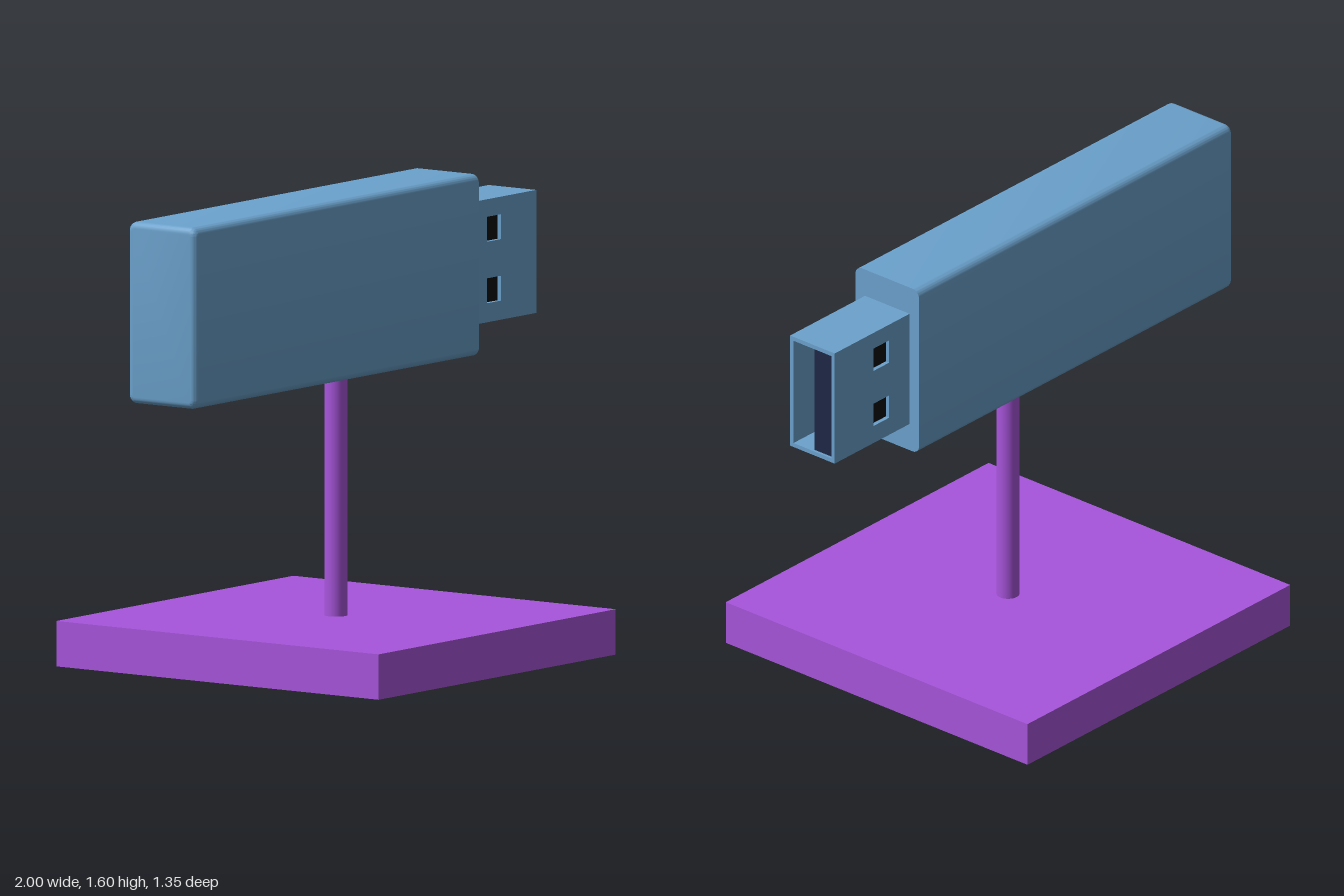
import * as THREE from 'three';
import { toCreasedNormals } from 'three/addons/utils/BufferGeometryUtils.js';

const paint = (color) => new THREE.MeshStandardMaterial({ color });
const blue = paint(0x6ba2cd);
const purple = paint(0xa855dc);
const black = paint(0x0d0d0d);
const navy = paint(0x1e2946);

function add(parent, name, geometry, material, x = 0, y = 0, z = 0) {
  const mesh = new THREE.Mesh(geometry, material);
  mesh.name = name;
  mesh.position.set(x, y, z);
  parent.add(mesh);
  return mesh;
}

// Box given by its lower and upper corners
function addBox(parent, name, material, [x0, y0, z0], [x1, y1, z1]) {
  const geometry = new THREE.BoxGeometry(x1 - x0, y1 - y0, z1 - z0);
  return add(parent, name, geometry, material, (x0 + x1) / 2, (y0 + y1) / 2, (z0 + z1) / 2);
}

function rectangle(path, x0, y0, x1, y1) {
  path.moveTo(x0, y0).lineTo(x1, y0).lineTo(x1, y1).lineTo(x0, y1).closePath();
  return path;
}

// Long case: rounded section, softened closed end, flat connector end
function caseGeometry() {
  const w = 0.143, h = 0.31, r = 0.03, bevel = 0.022;
  const endX = 0.615;
  const s = new THREE.Shape();
  s.absarc(w - r, h - r, r, 0, Math.PI / 2);
  s.absarc(-w + r, h - r, r, Math.PI / 2, Math.PI);
  s.absarc(-w + r, -h + r, r, Math.PI, Math.PI * 1.5);
  s.absarc(w - r, -h + r, r, Math.PI * 1.5, Math.PI * 2);
  s.closePath();
  const g = new THREE.ExtrudeGeometry(s, {
    depth: 1 + endX - bevel, curveSegments: 6,
    bevelThickness: bevel, bevelSize: bevel, bevelOffset: -bevel, bevelSegments: 5,
  });
  g.rotateY(Math.PI / 2);
  g.translate(-1 + bevel, 0, 0);
  // Flatten the bevel at the connector end
  const p = g.attributes.position;
  for (let i = 0; i < p.count; i++) p.setX(i, Math.min(p.getX(i), endX));
  return toCreasedNormals(g, 0.6);
}

// Connector side wall with its two square windows
function sideWallGeometry(thickness) {
  const s = rectangle(new THREE.Shape(), 0.61, 1.08, 1, 1.5);
  for (const y of [1.145, 1.355]) {
    s.holes.push(rectangle(new THREE.Path(), 0.72, y, 0.8, y + 0.085));
  }
  return new THREE.ExtrudeGeometry(s, { depth: thickness, bevelEnabled: false });
}

export function createModel() {
  const model = new THREE.Group();
  model.name = 'memoryStickOnStand';

  // Stand
  const stand = new THREE.Group();
  stand.name = 'stand';
  model.add(stand);
  addBox(stand, 'base', purple, [-0.68, 0, -0.677], [0.67, 0.155, 0.677]);
  add(stand, 'pole', new THREE.CylinderGeometry(0.039, 0.039, 0.86, 32), purple, -0.005, 0.575, 0);

  // Case
  add(model, 'case', caseGeometry(), blue, 0, 1.29, 0);

  // Connector: hollow sleeve, dark core and tongue
  const connector = new THREE.Group();
  connector.name = 'connector';
  model.add(connector);
  const t = 0.015, outer = 0.1, inner = outer - t;
  const wall = sideWallGeometry(t);
  add(connector, 'frontWall', wall, blue, 0, 0, inner);
  add(connector, 'backWall', wall, blue, 0, 0, -outer);
  addBox(connector, 'topWall', blue, [0.61, 1.485, -inner], [1, 1.5, inner]);
  addBox(connector, 'bottomWall', blue, [0.61, 1.08, -inner], [1, 1.095, inner]);
  addBox(connector, 'core', black, [0.61, 1.095, -0.07], [0.83, 1.485, 0.07]);
  addBox(connector, 'coreEnd', black, [0.82, 1.095, -inner], [0.85, 1.485, inner]);
  addBox(connector, 'tongue', navy, [0.84, 1.095, -inner], [0.99, 1.485, 0]);

  return model;
}
